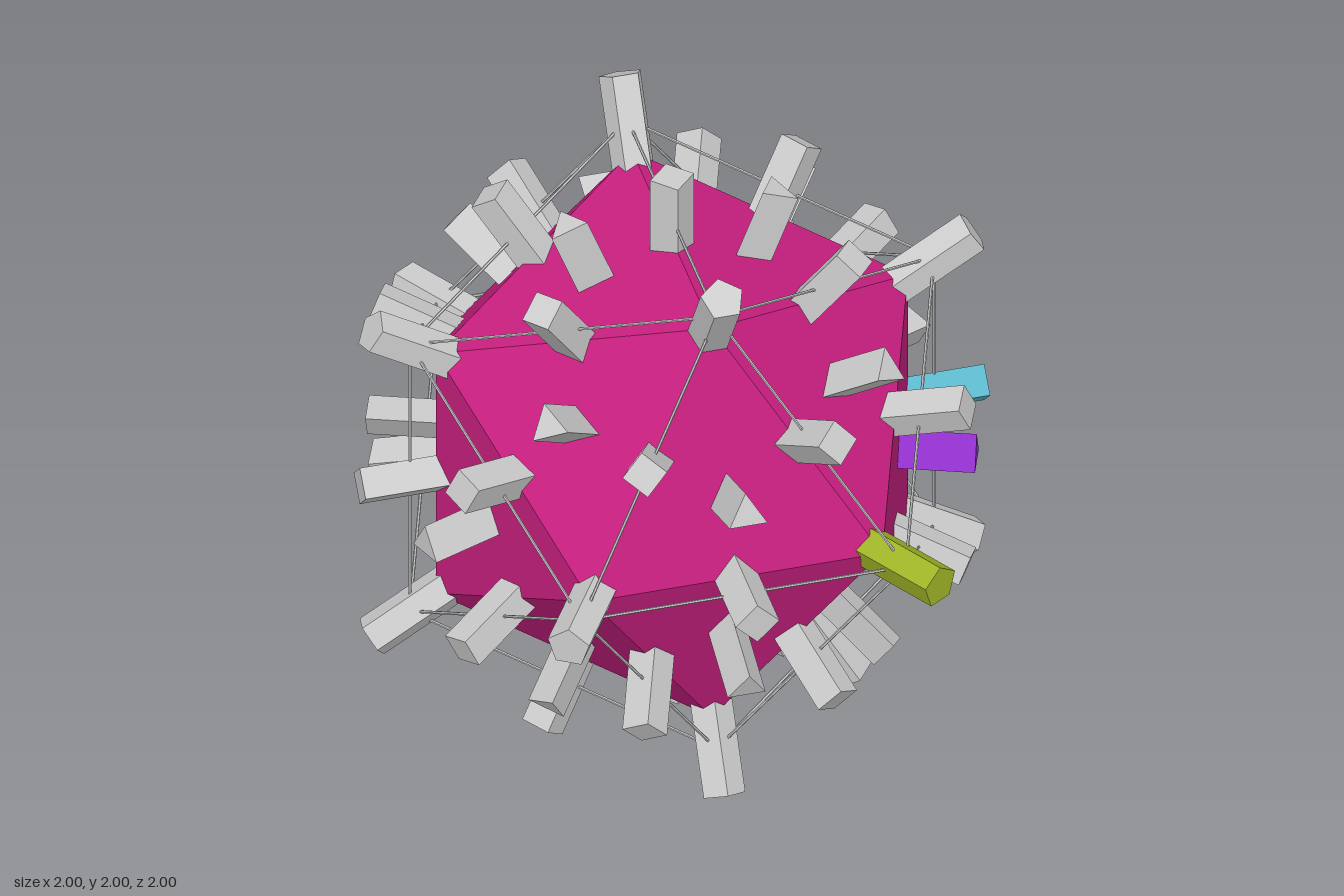
import * as THREE from 'three';

const PHI = (1 + Math.sqrt(5)) / 2;
const FRAME_RADIUS = 0.987, BODY_RADIUS = 0.888, STRUT_RADIUS = 0.07;

const material = (color) => new THREE.MeshStandardMaterial({ color, flatShading: true });

// Prism from distance a to distance b along direction d, first corner toward d x X
function radialPrism(name, sides, d, a, b, mat) {
  const geo = new THREE.CylinderGeometry(STRUT_RADIUS, STRUT_RADIUS, b - a, sides);
  geo.translate(0, (a + b) / 2, 0);
  const corner = Math.abs(d.x) > 0.99
    ? new THREE.Vector3(0, 1, 0)
    : d.clone().cross(new THREE.Vector3(1, 0, 0)).normalize();
  const side = d.clone().cross(corner);
  geo.applyMatrix4(new THREE.Matrix4().makeBasis(side, d, corner));
  const mesh = new THREE.Mesh(geo, mat);
  mesh.name = name;
  return mesh;
}

// Thin round rod between two points
function rod(p, q, radius, mat) {
  const mesh = new THREE.Mesh(new THREE.CylinderGeometry(radius, radius, p.distanceTo(q), 6), mat);
  mesh.position.addVectors(p, q).multiplyScalar(0.5);
  mesh.quaternion.setFromUnitVectors(new THREE.Vector3(0, 1, 0), q.clone().sub(p).normalize());
  mesh.name = 'frameEdge';
  return mesh;
}

export function createModel() {
  const model = new THREE.Group();
  model.name = 'icosahedralNode';
  const grey = material(0xcccccc);

  // Solid core
  const core = new THREE.Mesh(
    new THREE.IcosahedronGeometry(BODY_RADIUS, 0).rotateY(Math.PI / 2), material(0xc71f7f));
  core.name = 'core';
  model.add(core);

  // The twelve corner directions, then the edges and faces between neighbours
  const corners = [];
  for (const s of [1, -1]) for (const t of [1, -1]) {
    corners.push(new THREE.Vector3(s, 0, t * PHI),
      new THREE.Vector3(s * PHI, t, 0), new THREE.Vector3(0, s * PHI, t));
  }
  corners.forEach((v) => v.normalize());
  const near = (a, b) => a.distanceTo(b) < 1.1;
  const edges = [], faces = [];
  corners.forEach((a, i) => corners.slice(i + 1).forEach((b, j) => {
    if (!near(a, b)) return;
    edges.push([a, b]);
    corners.slice(i + j + 2).forEach((c) => {
      if (near(a, c) && near(b, c)) faces.push([a, b, c]);
    });
  }));
  const centre = (pts) => pts.reduce((s, p) => s.add(p), new THREE.Vector3()).normalize();

  // Wire frame around the core
  const frame = new THREE.Group();
  frame.name = 'wireFrame';
  for (const [a, b] of edges) {
    frame.add(rod(a.clone().multiplyScalar(FRAME_RADIUS),
      b.clone().multiplyScalar(FRAME_RADIUS), 0.005, grey));
  }
  model.add(frame);

  // Struts on corners, faces and edges; one of each kind is coloured
  const kinds = [
    { name: 'cornerStrut', sides: 5, dirs: corners, a: 0.8, b: 1.132,
      marked: new THREE.Vector3(1, 0, PHI), color: 0xa0b428 },
    { name: 'faceStrut', sides: 3, dirs: faces.map(centre), a: 0.64, b: 0.946,
      marked: new THREE.Vector3(PHI * PHI, 0, 1), color: 0x9430d0 },
    { name: 'edgeStrut', sides: 4, dirs: edges.map(centre), a: 0.69, b: 1,
      marked: new THREE.Vector3(1, 0, 0), color: 0x5cb8cc },
  ];
  for (const k of kinds) {
    const group = new THREE.Group();
    group.name = k.name + 's';
    k.marked.normalize();
    for (const d of k.dirs) {
      const mat = d.dot(k.marked) > 0.999 ? material(k.color) : grey;
      group.add(radialPrism(k.name, k.sides, d, k.a, k.b, mat));
    }
    model.add(group);
  }

  // Stand on the ground
  model.children.forEach((part) => { part.position.y = 1; });
  return model;
}
